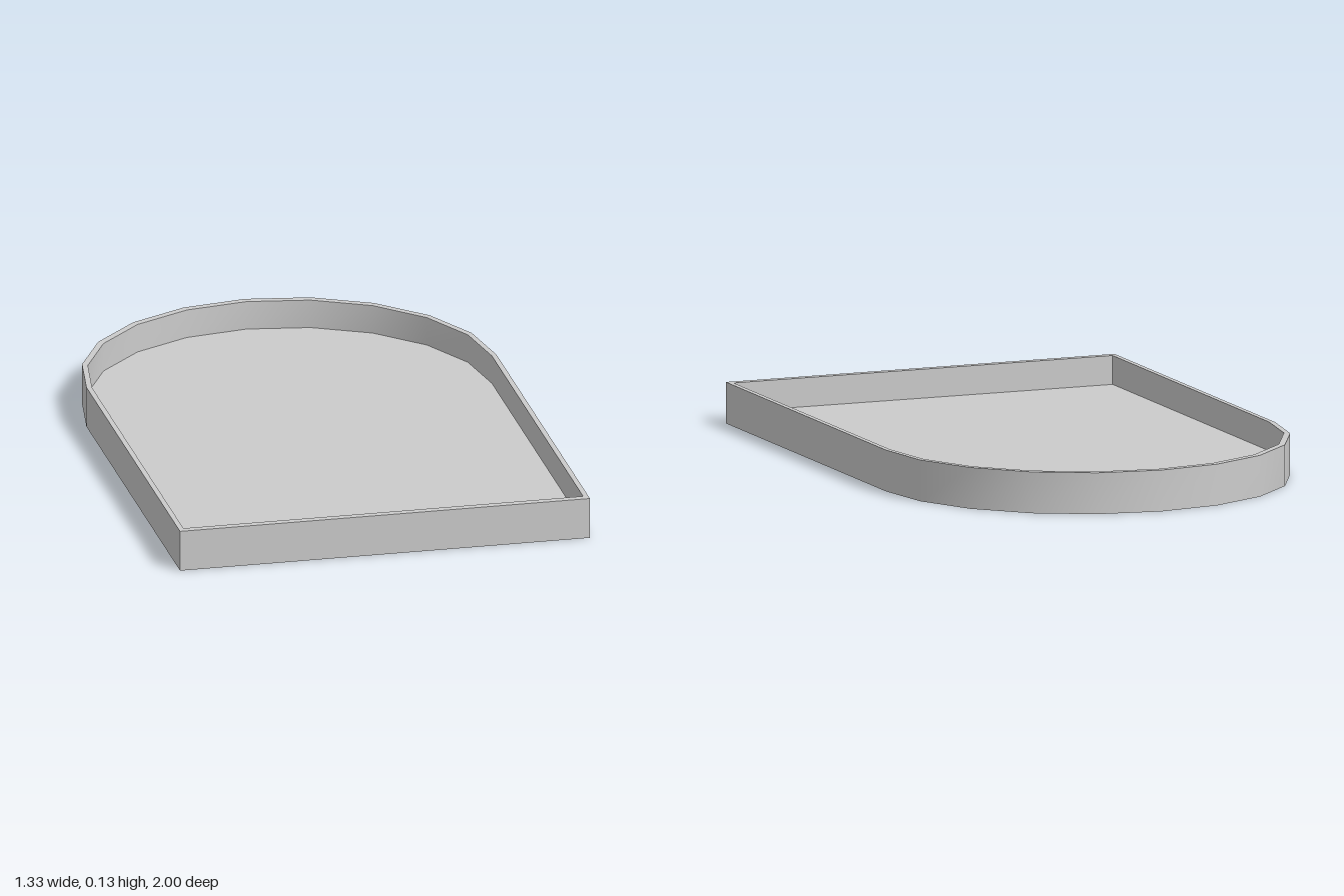
import * as THREE from 'three';
import { toCreasedNormals } from 'three/addons/utils/BufferGeometryUtils.js';

const RADIUS = 2 / 3, HEIGHT = 0.133, FLOOR = 0.04, INNER = 0.975, SEGMENTS = 10;

// Arched outline: half circle at the back, square corners at the front
function archOutline() {
  const points = [];
  for (let i = 0; i <= SEGMENTS; i++) {
    const a = (i / SEGMENTS) * Math.PI;
    points.push([RADIUS * Math.cos(a), -1 / 3 - RADIUS * Math.sin(a)]);
  }
  points.push([-RADIUS, 1], [RADIUS, 1]);
  return points;
}

// Skin the outline through a list of [scale, y] rings; scale 0 closes to a point
function skinRings(outline, rings) {
  const positions = [];
  const n = outline.length;
  const put = ([s, y], i) => {
    const [x, z] = outline[i % n];
    positions.push(x * s, y, z * s);
  };
  for (let k = 0; k < rings.length - 1; k++) {
    const low = rings[k], high = rings[k + 1];
    for (let i = 0; i < n; i++) {
      if (low[0] > 0) { put(low, i); put(low, i + 1); put(high, i + 1); }
      if (high[0] > 0) { put(low, i); put(high, i + 1); put(high, i); }
    }
  }
  const geometry = new THREE.BufferGeometry();
  geometry.setAttribute('position', new THREE.Float32BufferAttribute(positions, 3));
  return toCreasedNormals(geometry, 0.6);
}

export function createModel() {
  const group = new THREE.Group();
  group.name = 'archedTray';

  // Underside, outer wall, rim, inner wall and floor as one closed skin
  const geometry = skinRings(archOutline(), [
    [0, 0], [1, 0], [1, HEIGHT], [INNER, HEIGHT], [INNER, FLOOR], [0, FLOOR],
  ]);
  const tray = new THREE.Mesh(geometry, new THREE.MeshStandardMaterial({ color: 0xcccccc }));
  tray.name = 'tray';
  group.add(tray);
  return group;
}
